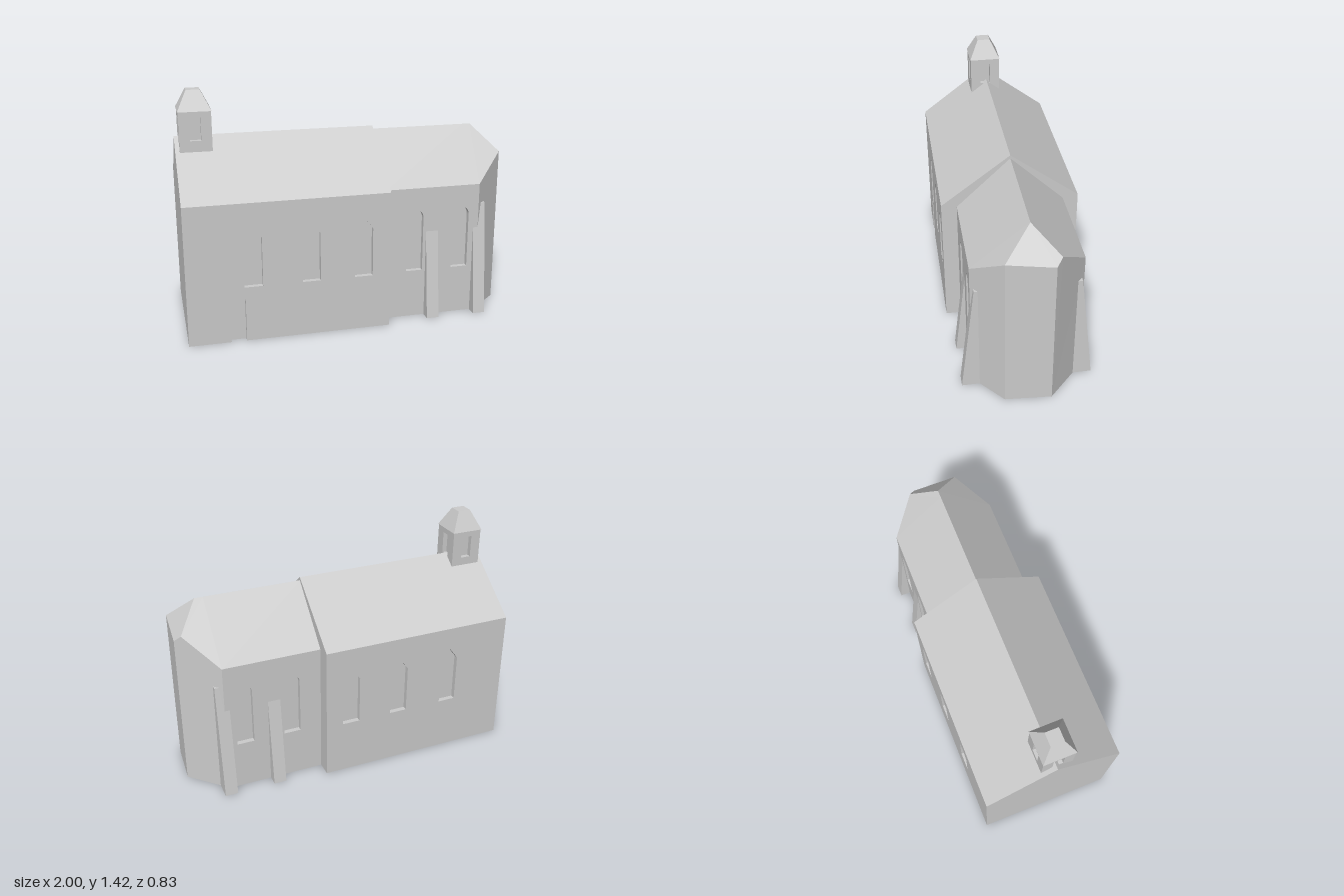
import * as THREE from 'three';

const stone = new THREE.MeshStandardMaterial({ color: 0xcccccc });
stone.name = 'pale stone';
const RECESS = 0.03;

function add(parent, name, geometry) {
  const mesh = new THREE.Mesh(geometry, stone);
  mesh.name = name;
  parent.add(mesh);
  return mesh;
}

const polygon = (pts) => new THREE.Shape(pts.map(([x, y]) => new THREE.Vector2(x, y)));
const extrude = (shape, depth) =>
  new THREE.ExtrudeGeometry(shape, { depth, bevelEnabled: false, curveSegments: 10 });

// Extrudes a z/y profile along x, from x0 to x1
const extrudeX = (pts, x0, x1) =>
  extrude(polygon(pts), x1 - x0).rotateY(Math.PI / 2).translate(x0, 0, 0);

function pointedWindow(x) {
  const w = 0.054;
  return polygon([[x - w, 0.335], [x + w, 0.335], [x + w, 0.63], [x, 0.7], [x - w, 0.63]]);
}

function roundWindow(x) {
  const w = 0.052;
  const s = new THREE.Shape();
  s.moveTo(x - w, 0.3);
  s.lineTo(x + w, 0.3);
  s.lineTo(x + w, 0.638);
  s.absarc(x, 0.638, w, 0, Math.PI, false);
  s.closePath();
  return s;
}

// Solid core under a gabled roof; side walls are set back behind the pierced panels
function gabledCore(half, eave, ridge, x0, x1) {
  const inner = half - RECESS;
  return extrudeX([
    [-inner, 0], [inner, 0], [inner, eave], [half, eave],
    [0, ridge], [-half, eave], [-inner, eave],
  ], x0, x1);
}

function sideWall(outline, holes, z) {
  const shape = polygon(outline);
  shape.holes.push(...holes);
  return extrude(shape, RECESS).translate(0, 0, z);
}

// Flat-faced solid from polygons listed counter-clockwise seen from outside
function faceted(faces) {
  const pos = [];
  for (const f of faces)
    for (let i = 1; i < f.length - 1; i++) pos.push(...f[0], ...f[i], ...f[i + 1]);
  const g = new THREE.BufferGeometry();
  g.setAttribute('position', new THREE.Float32BufferAttribute(pos, 3));
  g.computeVertexNormals();
  return g;
}

function buildNave() {
  const nave = new THREE.Group();
  nave.name = 'nave';
  const half = 0.413, eave = 0.84, x0 = -1, x1 = 0.2;
  const windows = [-0.615, -0.275, 0.04].map(pointedWindow);
  add(nave, 'naveCore', gabledCore(half, eave, 1.15, x0, x1));
  // The front wall has a doorway notch at its foot
  add(nave, 'naveFrontWall', sideWall([
    [x0, 0], [-0.755, 0], [-0.755, 0.26], [-0.665, 0.26], [-0.665, 0],
    [x1, 0], [x1, eave], [x0, eave],
  ], windows, half - RECESS));
  add(nave, 'naveBackWall',
    sideWall([[x0, 0], [x1, 0], [x1, eave], [x0, eave]], windows, -half));
  return nave;
}

function buildChoir() {
  const choir = new THREE.Group();
  choir.name = 'choir';
  const half = 0.32, eave = 0.825, ridge = 1.13, x0 = 0.2, x1 = 0.79;
  const windows = [0.384, 0.675].map(roundWindow);
  const outline = [[x0, 0], [x1, 0], [x1, eave], [x0, eave]];
  add(choir, 'choirCore', gabledCore(half, eave, ridge, x0, x1));
  add(choir, 'choirFrontWall', sideWall(outline, windows, half - RECESS));
  add(choir, 'choirBackWall', sideWall(outline, windows, -half));

  // Slightly irregular three-sided apse with a hipped roof end
  const a0 = [x1, 0, half], a1 = [x1, eave, half];
  const b0 = [x1, 0, -half], b1 = [x1, eave, -half];
  const f0 = [0.98, 0, 0.155], f1 = [0.98, 0.978, 0.155];
  const c0 = [1, 0, -0.115], c1 = [1, 0.945, -0.115];
  const h = [0.965, 0.983, -0.15];
  const r = [x1, ridge, 0], apex = [0.84, ridge, 0];
  add(choir, 'apse', faceted([
    [a0, f0, f1, a1], [f0, c0, c1, f1], [c0, b0, b1, h, c1],
    [apex, f1, c1, h], [a1, f1, apex, r], [r, apex, h, b1],
    [a0, b0, c0, f0],
  ]));

  // Tapering buttresses, mirrored front to back
  for (const x of [0.455, 0.76])
    for (const side of [1, -1]) {
      // the extrusion turns profile +x into -z
      const profile = [[0.25, 0], [0.385, 0], [0.302, 0.7], [0.25, 0.7]];
      add(choir, 'buttress',
        extrudeX(profile.map(([z, y]) => [-side * z, y]), x, x + 0.076));
    }
  return choir;
}

function buildBellTower() {
  const tower = new THREE.Group();
  tower.name = 'bellTower';
  tower.position.set(-0.88, 0, 0.01);
  const half = 0.094, y0 = 1.07, y1 = 1.307, inner = half - RECESS;
  add(tower, 'towerCore', new THREE.BoxGeometry(inner * 2, y1 - y0, inner * 2)
    .translate(0, (y0 + y1) / 2, 0));
  // Four walls, each with a rectangular opening
  for (let i = 0; i < 4; i++) {
    const shape = polygon([[-half, y0], [half, y0], [half, y1], [-half, y1]]);
    shape.holes.push(polygon([[-0.032, 1.137], [0.032, 1.137], [0.032, 1.272], [-0.032, 1.272]]));
    const wall = add(tower, 'towerWall', extrude(shape, RECESS).translate(0, 0, inner));
    wall.rotation.y = i * Math.PI / 2;
  }
  // Truncated pyramid roof
  const k = Math.SQRT2;
  add(tower, 'towerRoof',
    new THREE.CylinderGeometry(0.04 * k, 0.098 * k, 0.117, 4).toNonIndexed()
      .rotateY(Math.PI / 4).translate(0, y1 + 0.0585, 0)).geometry.computeVertexNormals();
  return tower;
}

export function createModel() {
  const church = new THREE.Group();
  church.name = 'church';
  church.add(buildNave(), buildChoir(), buildBellTower());
  return church;
}
